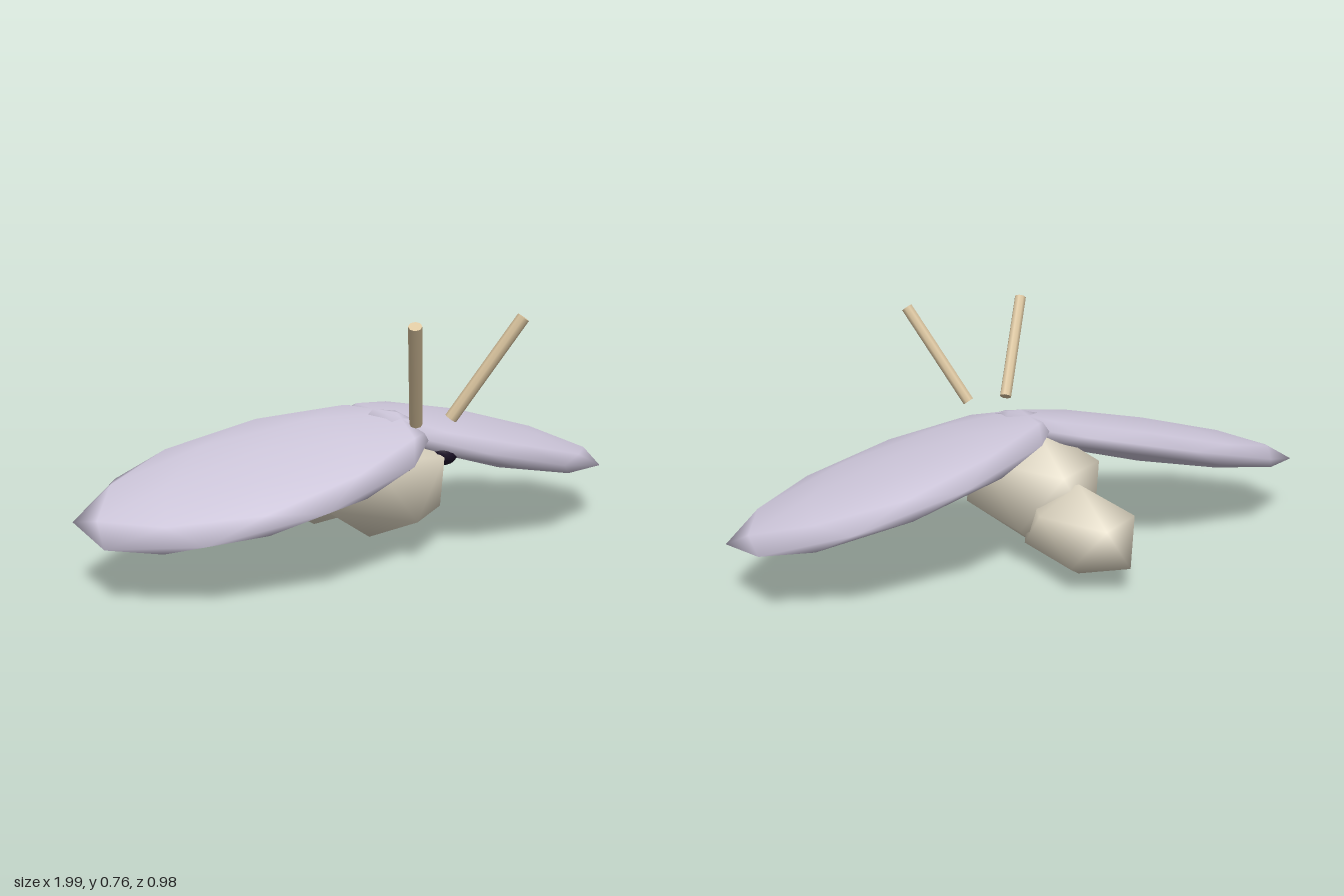
import * as THREE from 'three';

const mat = (name, color) => {
  const m = new THREE.MeshStandardMaterial({ color });
  m.name = name;
  return m;
};

// Smooth-shaded low-poly ball with its poles on the y axis
function ball(detail) {
  const geo = new THREE.IcosahedronGeometry(1, detail);
  geo.rotateZ(-Math.atan(2 / (1 + Math.sqrt(5))));
  geo.setAttribute('normal', geo.attributes.position.clone());
  return geo;
}

export function createModel() {
  const model = new THREE.Group();
  model.name = 'moth';
  const bodyMat = mat('cream fur', 0xe0d8c4);
  const wingMat = mat('pale lavender', 0xcdc6da);
  const antennaMat = mat('tan', 0xdcc6a0);
  const eyeMat = mat('dark violet', 0x1c1228);

  const add = (name, geo, material) => {
    const mesh = new THREE.Mesh(geo, material);
    mesh.name = name;
    model.add(mesh);
    return mesh;
  };
  const ellipsoid = (name, detail, material, radii, centre) =>
    add(name, ball(detail).scale(...radii).translate(...centre), material);

  // Body
  ellipsoid('thorax', 0, bodyMat, [0.2, 0.208, 0.341], [0, 0.223, 0.02]);
  ellipsoid('abdomen', 0, bodyMat, [0.157, 0.145, 0.259], [0, 0.145, -0.27]);

  for (const side of [1, -1]) {
    const label = side > 0 ? 'left' : 'right';

    // Wing: flat ellipsoid, drooping outwards, swept and pitched
    const span = new THREE.Vector3(side * 0.5625, -0.121, -0.082);
    const chord = new THREE.Vector3(side * 0.04, -0.0475, 0.365).multiplyScalar(side);
    const thick = chord.clone().cross(span).setLength(0.073);
    const pose = new THREE.Matrix4().makeBasis(span, thick, chord)
      .setPosition(side * 0.448, 0.297, 0.055);
    add(label + 'Wing', ball(1).applyMatrix4(pose), wingMat);

    // Eye
    ellipsoid(label + 'Eye', 1, eyeMat, [0.043, 0.043, 0.043], [side * 0.088, 0.325, 0.275]);

    // Antenna
    const base = new THREE.Vector3(side * 0.072, 0.437, 0.318);
    const tip = new THREE.Vector3(side * 0.22, 0.748, 0.472);
    const dir = tip.clone().sub(base);
    const antenna = add(label + 'Antenna',
      new THREE.CylinderGeometry(0.02, 0.02, dir.length(), 8), antennaMat);
    antenna.position.copy(base).add(tip).multiplyScalar(0.5);
    antenna.quaternion.setFromUnitVectors(new THREE.Vector3(0, 1, 0), dir.normalize());
  }
  return model;
}
